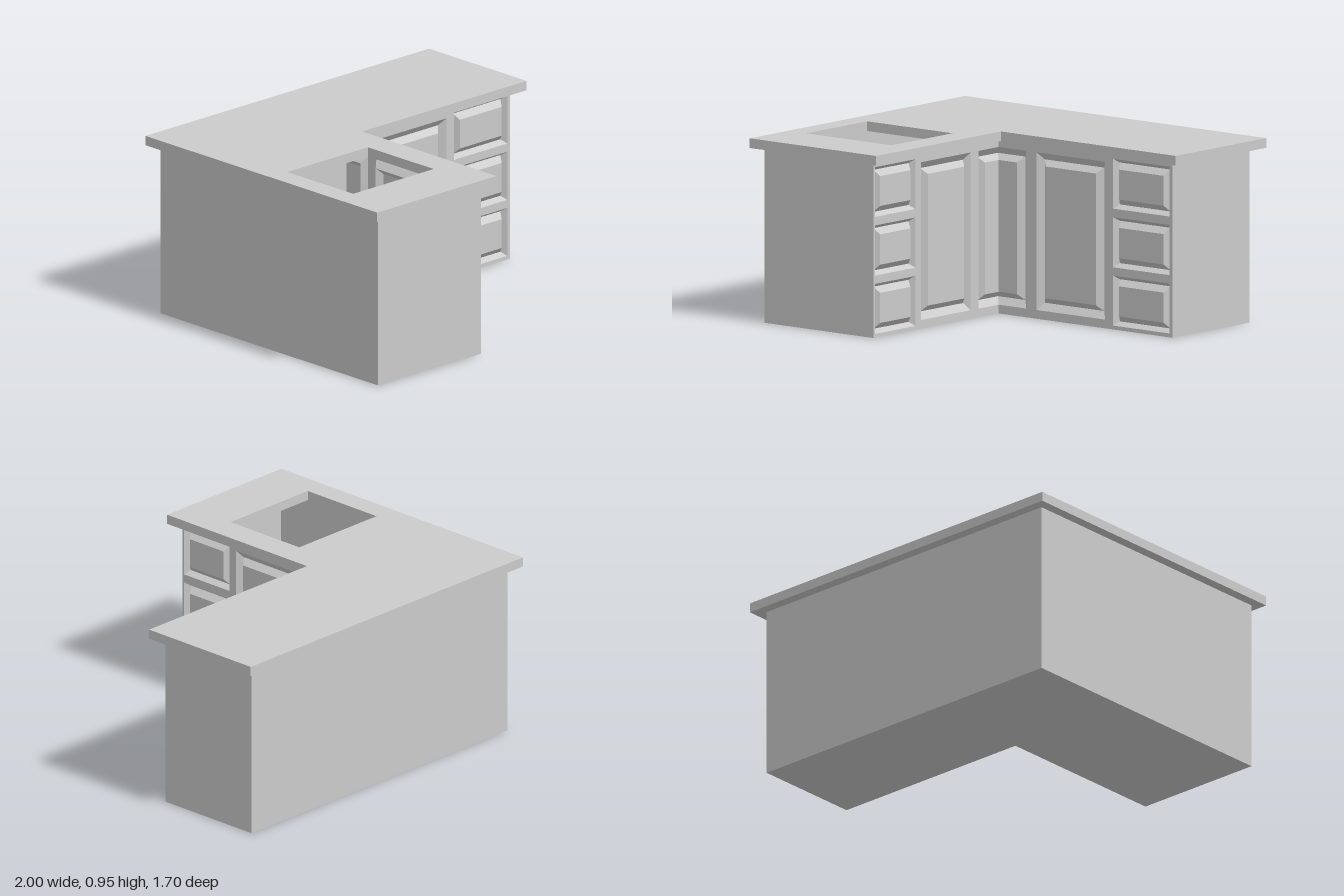
import * as THREE from 'three';

const material = new THREE.MeshStandardMaterial({ color: 0xcccccc, side: THREE.DoubleSide });
const HEIGHT = 0.9, SLAB = 0.05, GROOVE = 0.03;
// Cabinet extents and the inner corner of the L
const L = -0.945, R = 0.935, B = -0.795, F = 0.795, CX = -0.22, CZ = -0.19;
const DOOR_Y = [0.045, 0.857];
const DRAWER_Y = [[0.02, 0.277], [0.32, 0.578], [0.622, 0.878]];

function add(parent, name, geometry) {
  const mesh = new THREE.Mesh(geometry, material);
  mesh.name = name;
  parent.add(mesh);
  return mesh;
}

const polygon = (points) => new THREE.Shape(points.map(([x, y]) => new THREE.Vector2(x, y)));
const rect = (x0, x1, y0, y1) => [[x0, y0], [x1, y0], [x1, y1], [x0, y1]];

// Raised panel inside a V groove; openSide (-1 left, 1 right) runs on around the inner corner
function panelGeometry([x0, x1], [y0, y1], dx, dy, openSide = 0) {
  const ring = (i, z) => {
    const wrap = i === 1 ? -GROOVE : 0;
    const left = openSide === -1 ? wrap : dx[i];
    const right = openSide === 1 ? wrap : dx[i];
    return rect(x0 + left, x1 - right, y0 + dy[i], y1 - dy[i]).map(([x, y]) => [x, y, z]);
  };
  dx = [0, ...dx];
  dy = [0, ...dy];
  const rings = [ring(0, 0), ring(1, -GROOVE), ring(2, 0)];
  const positions = [];
  const quad = (a, b, c, d) => positions.push(...a, ...b, ...c, ...a, ...c, ...d);
  for (let r = 0; r < 2; r++) {
    for (let k = 0; k < 4; k++) {
      if ((openSide === -1 && k === 3) || (openSide === 1 && k === 1)) continue;
      const n = (k + 1) % 4;
      quad(rings[r][k], rings[r][n], rings[r + 1][n], rings[r + 1][k]);
    }
  }
  quad(...rings[2]);
  const geometry = new THREE.BufferGeometry();
  geometry.setAttribute('position', new THREE.Float32BufferAttribute(positions, 3));
  geometry.computeVertexNormals();
  return geometry;
}

// Fronted wall from the inner corner to its free end, with drawers, a door and half the corner door
function frontedWall(name, { corner, end, drawerX, doorX, cornerDoor, inset }) {
  const group = new THREE.Group();
  group.name = name;
  const side = Math.sign(corner - end);
  const [d0, d1] = DOOR_Y;
  const shape = polygon([
    [corner, 0], [end, 0], [end, HEIGHT], [corner, HEIGHT],
    [corner, d1], [cornerDoor, d1], [cornerDoor, d0], [corner, d0],
  ]);
  const cut = (x, y) => shape.holes.push(polygon(rect(...x, ...y)));
  const doorInsets = [[inset, 2 * inset], [0.037, 0.067]];

  DRAWER_Y.forEach((y) => {
    cut(drawerX, y);
    add(group, 'drawerFront', panelGeometry(drawerX, y, [0.02, 0.04], [0.02, 0.051]));
  });
  cut(doorX, DOOR_Y);
  add(group, 'door', panelGeometry(doorX, DOOR_Y, ...doorInsets));
  const span = [corner, cornerDoor].sort((a, b) => a - b);
  add(group, 'cornerDoorHalf', panelGeometry(span, DOOR_Y, ...doorInsets, side));
  add(group, 'faceFrame', new THREE.ShapeGeometry(shape));
  return group;
}

export function createModel() {
  const model = new THREE.Group();
  model.name = 'cornerCabinet';

  // Countertop with the sink cutout
  const top = polygon([[-1, -0.85], [1, -0.85], [1, -0.137], [-0.16, -0.137], [-0.16, 0.845], [-1, 0.845]]);
  top.holes.push(polygon(rect(-0.88, -0.312, 0.063, 0.545)));
  const slab = new THREE.ExtrudeGeometry(top, { depth: SLAB, bevelEnabled: false });
  add(model, 'countertop', slab.rotateX(Math.PI / 2)).position.y = HEIGHT + SLAB;

  // Cabinet floor
  const floor = polygon([[L, B], [R, B], [R, CZ], [CX, CZ], [CX, F], [L, F]]);
  add(model, 'cabinetFloor', new THREE.ShapeGeometry(floor).rotateX(Math.PI / 2));

  // Plain outer walls: width, centre x, centre z, turn
  const walls = [
    ['backWall', R - L, (L + R) / 2, B, Math.PI],
    ['outerSideWall', F - B, L, (B + F) / 2, -Math.PI / 2],
    ['backWingEnd', CZ - B, R, (B + CZ) / 2, Math.PI / 2],
    ['frontWingEnd', CX - L, (L + CX) / 2, F, 0],
  ];
  for (const [name, width, x, z, turn] of walls) {
    const wall = add(model, name, new THREE.PlaneGeometry(width, HEIGHT));
    wall.position.set(x, HEIGHT / 2, z);
    wall.rotation.y = turn;
  }

  // Back wing front, facing +z
  const backWing = frontedWall('backWingFront', {
    corner: CX, end: R, drawerX: [0.54, 0.915], doorX: [0.03, 0.487], cornerDoor: -0.037, inset: 0.031,
  });
  backWing.position.z = CZ;

  // Front wing front, turned to face +x (its local x is -z)
  const frontWing = frontedWall('frontWingFront', {
    corner: -CZ, end: -F, drawerX: [-0.783, -0.465], doorX: [-0.42, -0.03], cornerDoor: 0.03, inset: 0.026,
  });
  frontWing.position.x = CX;
  frontWing.rotation.y = Math.PI / 2;

  model.add(backWing, frontWing);
  return model;
}
